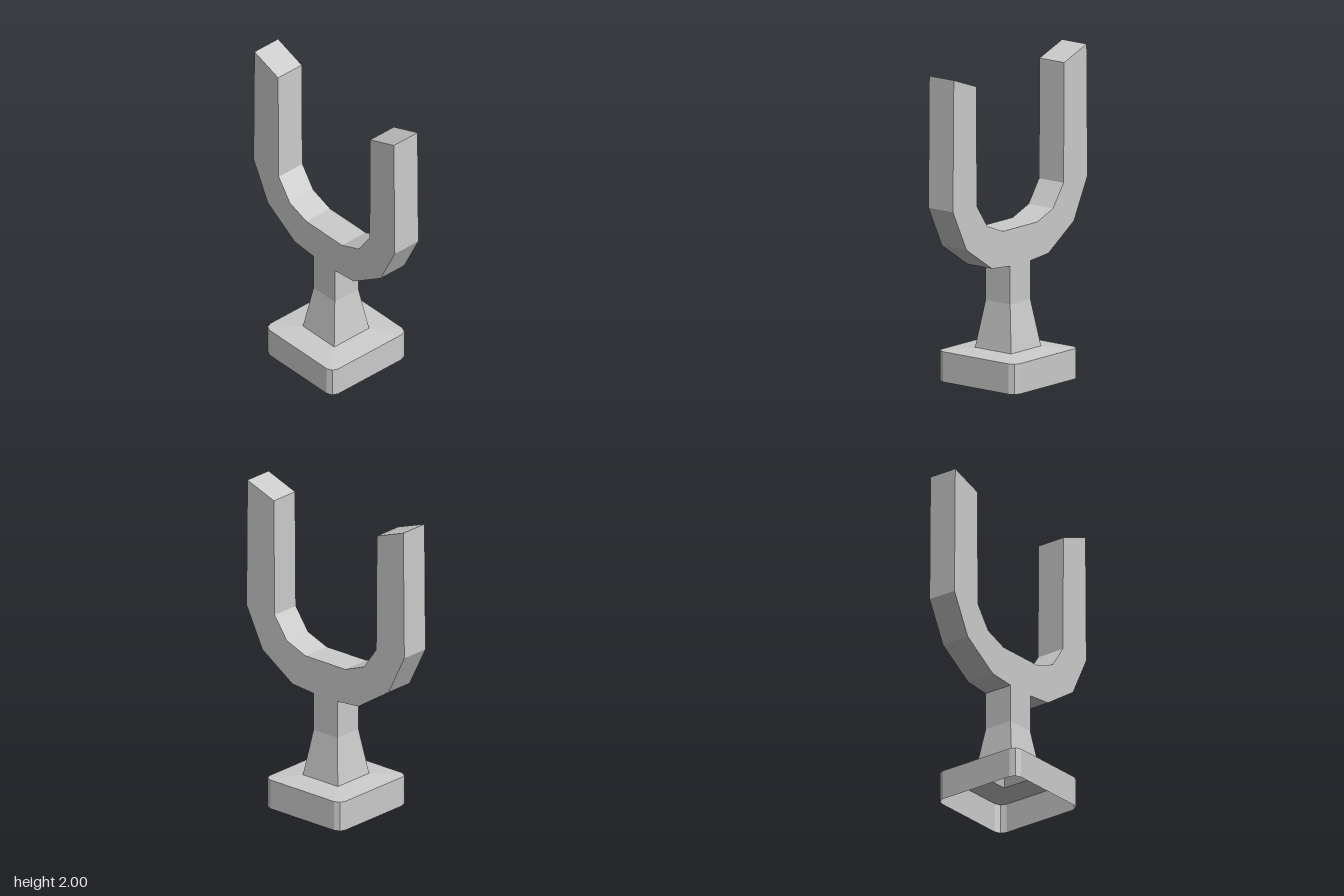
import * as THREE from 'three';

const material = new THREE.MeshStandardMaterial({
  color: 0xcccccc, flatShading: true, side: THREE.DoubleSide,
});

// Flat-shaded geometry from four-cornered faces; collapsed triangles are dropped
function fromQuads(quads) {
  const positions = [];
  for (const [a, b, c, d] of quads) {
    for (const [p, q, r] of [[a, b, c], [a, c, d]]) {
      const tri = new THREE.Triangle(p, q, r);
      if (tri.getArea() > 1e-7) positions.push(...p.toArray(), ...q.toArray(), ...r.toArray());
    }
  }
  const geometry = new THREE.BufferGeometry();
  geometry.setAttribute('position', new THREE.Float32BufferAttribute(positions, 3));
  geometry.computeVertexNormals();
  return geometry;
}

// Square ring at height y, with rounded corners of size r
function squareRing(half, y, r) {
  const ring = [];
  for (let side = 0; side < 4; side++) {
    for (const [cx, cz] of [[r, 0], [r * 0.3, r * 0.3], [0, r]]) {
      let x = half - cx, z = half - cz;
      for (let k = 0; k < side; k++) [x, z] = [z, -x];
      ring.push(new THREE.Vector3(x, y, z));
    }
  }
  return ring;
}

// Open-ended skin through a stack of rings, from bottom to top
function loft(rings) {
  const quads = [];
  for (let k = 0; k + 1 < rings.length; k++) {
    const low = rings[k], high = rings[k + 1], n = low.length;
    for (let i = 0; i < n; i++) {
      const j = (i + 1) % n;
      quads.push([low[i], low[j], high[j], high[i]]);
    }
  }
  return fromQuads(quads);
}

function addMesh(parent, name, geometry) {
  const mesh = new THREE.Mesh(geometry, material);
  mesh.name = name;
  parent.add(mesh);
  return mesh;
}

export function createModel() {
  const model = new THREE.Group();
  model.name = 'forkedStand';

  // Hollow base, open underneath, with a slightly sloped top
  addMesh(model, 'base', loft([
    squareRing(0.31, 0, 0.05), squareRing(0.31, 0.19, 0.05), squareRing(0.143, 0.205, 0),
  ]));

  // Tapered hollow foot of the stem
  const stemHalf = 0.097, stemY = 0.5;
  addMesh(model, 'stemFoot', loft([
    squareRing(0.143, 0.205, 0), squareRing(stemHalf, stemY, 0),
  ]));

  // Fork outline: right half from the stem up the outside and down the inside, then mirrored
  const right = [
    [stemHalf, stemY], [stemHalf, 0.74], [0.27, 0.755], [0.515, 0.915], [0.645, 1.175],
    [0.637, 2], [0.421, 1.922], [0.415, 1.17], [0.315, 1.028], [0.163, 0.97],
  ];
  const outline = [...right, ...right.map(([x, y]) => [-x, y]).reverse()]
    .map(([x, y]) => new THREE.Vector2(x, y));

  const fork = new THREE.Group();
  fork.name = 'fork';
  model.add(fork);

  // Front and back faces
  for (const [name, turn] of [['forkFront', 0], ['forkBack', Math.PI]]) {
    const face = new THREE.ShapeGeometry(new THREE.Shape(outline));
    face.translate(0, 0, stemHalf).rotateY(turn);
    addMesh(fork, name, face);
  }

  // Walls along the outline, left open where the fork meets the stem foot
  const at = (p, z) => new THREE.Vector3(p.x, p.y, z);
  const walls = outline.slice(0, -1).map((a, i) => {
    const b = outline[i + 1];
    return [at(a, stemHalf), at(a, -stemHalf), at(b, -stemHalf), at(b, stemHalf)];
  });
  addMesh(fork, 'forkWalls', fromQuads(walls));

  return model;
}
